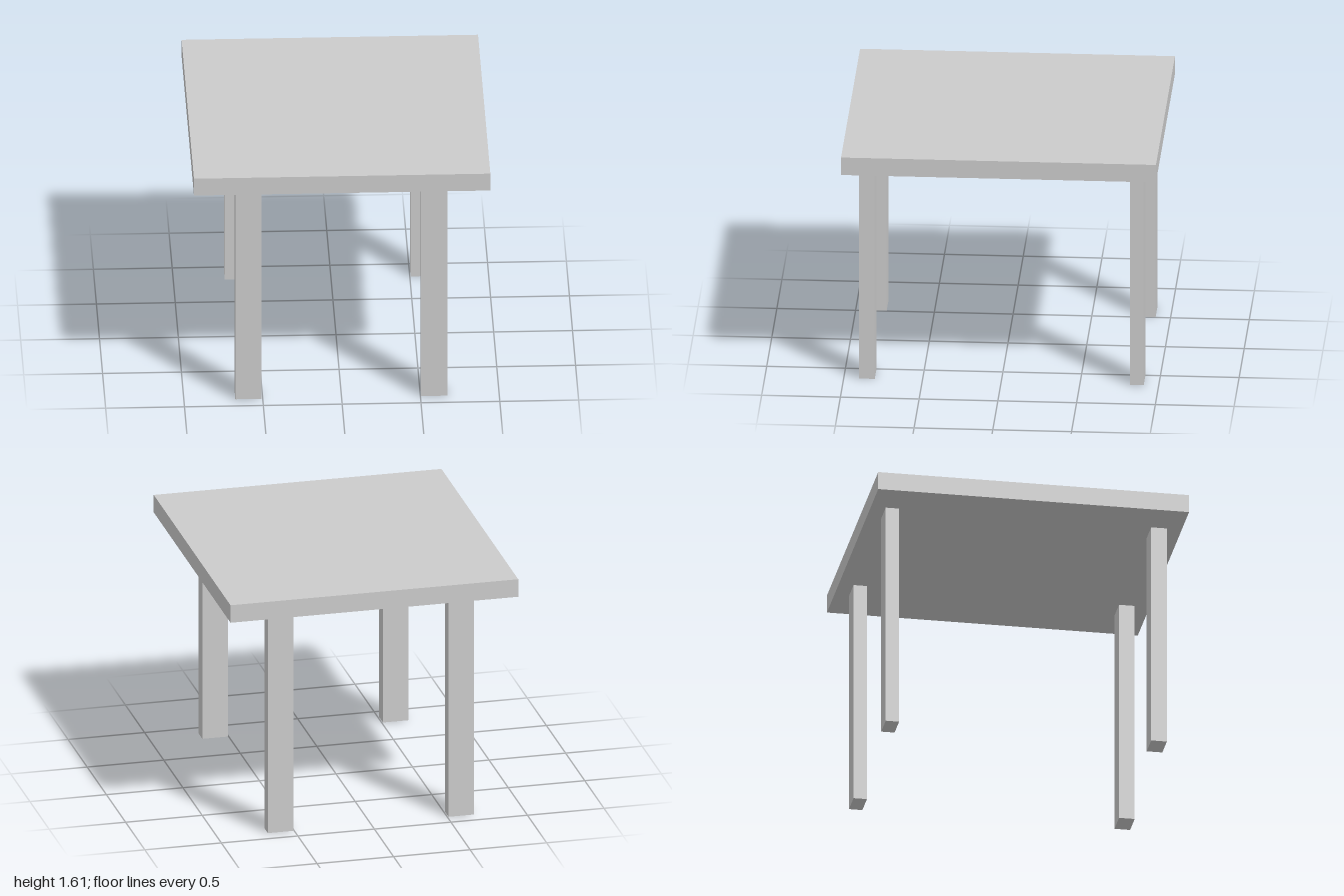
import * as THREE from 'three';

const material = new THREE.MeshStandardMaterial({ color: 0xcccccc, flatShading: true });

// Box given by its extents along each axis
function block(name, [x0, x1], [y0, y1], [z0, z1]) {
  const mesh = new THREE.Mesh(new THREE.BoxGeometry(x1 - x0, y1 - y0, z1 - z0), material);
  mesh.position.set((x0 + x1) / 2, (y0 + y1) / 2, (z0 + z1) / 2);
  mesh.name = name;
  return mesh;
}

export function createModel() {
  const table = new THREE.Group();
  table.name = 'table';

  // Thick rectangular slab
  table.add(block('tableTop', [-0.94, 0.94], [1.49, 1.609], [-1, 1]));

  // Four flat-sided legs; the front pair is slightly deeper than the back pair
  const sides = { Left: [0.505, 0.672], Right: [-0.674, -0.508] };
  const rows = { front: [0.803, 0.904], back: [-0.905, -0.819] };
  for (const [row, z] of Object.entries(rows)) {
    for (const [side, x] of Object.entries(sides)) {
      table.add(block(`${row}${side}Leg`, x, [0, 1.49], z));
    }
  }
  return table;
}
